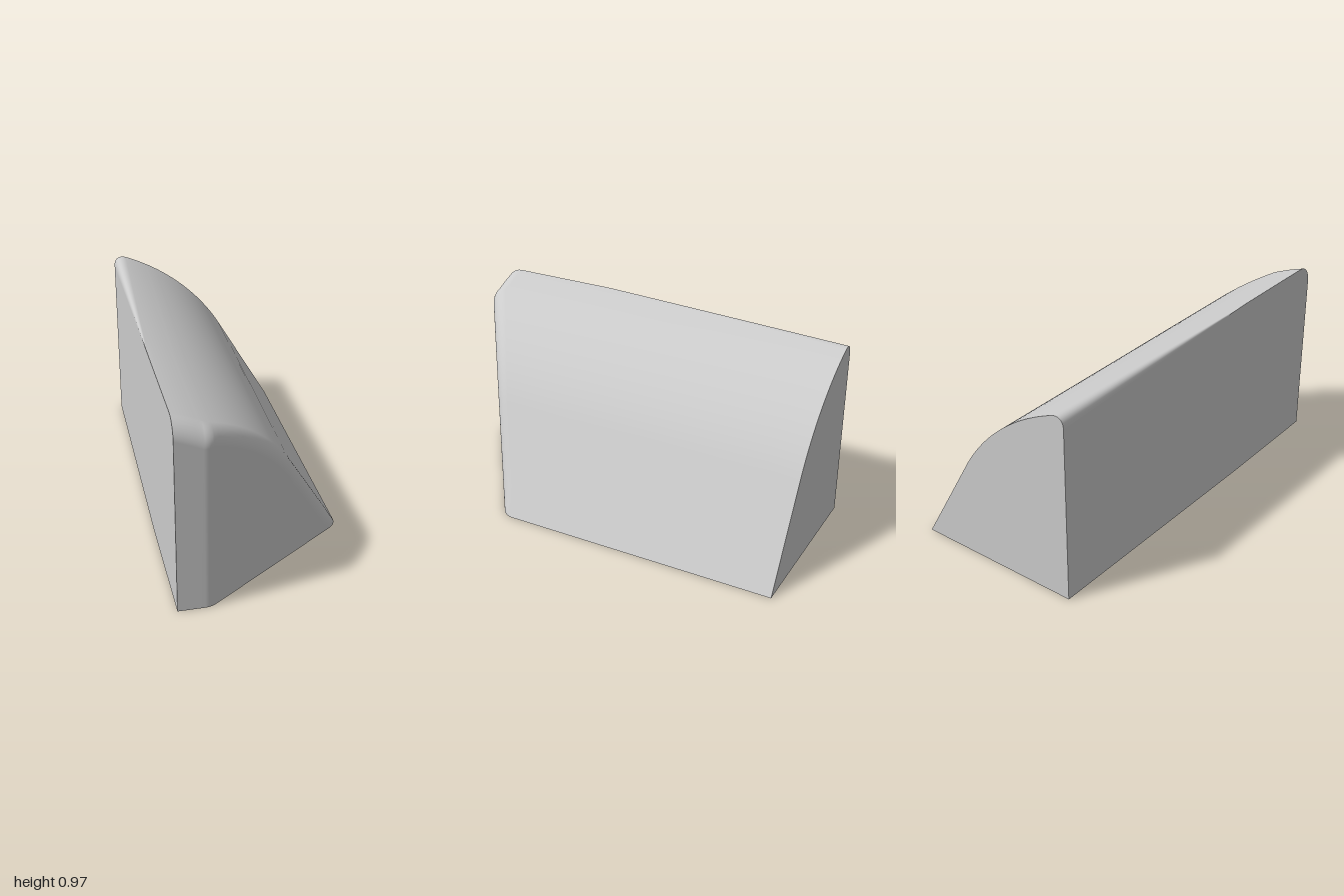
import * as THREE from 'three';
import { mergeVertices } from 'three/addons/utils/BufferGeometryUtils.js';

const R = 0.09;          // edge rounding radius
const BEND = 0.35;       // z where the left wall starts to taper
const ARC_STEPS = 8;
const BACK_ROWS = 8;

// Height of the roof: a circular arc running into a straight slope
const height = x => x < 0.17
  ? Math.sqrt(1.132 - (x + 0.751) ** 2) - 0.05
  : Math.max(0, 0.482 * (0.45 - x) / 0.28);

// Front outline in plan: straight, rounded corner, diagonal, rounded corner
function frontZ(x) {
  if (x < -0.321) return 1;
  if (x < -0.27) return 0.91 + Math.sqrt(R * R - (x + 0.321) ** 2);
  if (x < 0.4116) return 0.795 - 0.7 * x;
  return 0.433 + Math.sqrt(Math.max(0, R * R - (x - 0.36) ** 2));
}

const slope = (f, x) => {
  const c = THREE.MathUtils.clamp(x, -0.449, 0.449);
  return (f(c + 0.001) - f(c - 0.001)) / 0.002;
};

// Point on a circular-type conic with corner b, turning through the given angle
function conic(a, b, c, turn, t) {
  const wa = (1 - t) ** 2, wb = 2 * t * (1 - t) * Math.cos(turn / 2), wc = t * t;
  return new THREE.Vector3().addScaledVector(a, wa).addScaledVector(b, wb)
    .addScaledVector(c, wc).divideScalar(wa + wb + wc);
}

// Surface through a list of equally long columns of points
function grid(columns) {
  const rows = columns[0].length, index = [];
  for (let i = 0; i < columns.length - 1; i++) {
    for (let j = 0; j < rows - 1; j++) {
      const a = i * rows + j, b = a + rows;
      index.push(a, b, b + 1, a, b + 1, a + 1);
    }
  }
  let g = new THREE.BufferGeometry().setFromPoints(columns.flat());
  g.setIndex(index);
  g = mergeVertices(g, 1e-5);
  g.computeVertexNormals();
  return g;
}

// Rounded wall-to-roof edge for one x, from the ground up and back
function frontPath(x) {
  const h = height(x), z = frontZ(x), dh = slope(height, x), dz = slope(frontZ, x);
  const wall = new THREE.Vector3(-dz, 0, 1).normalize();
  const roof = new THREE.Vector3(-dh, 1, 0).normalize();
  const turn = wall.angleTo(roof), t = R * Math.tan(turn / 2);
  let drop = t * Math.sqrt(1 + dh * dh / (1 + dz * dz));
  let back = t * Math.sqrt((1 + dh * dh + dz * dz) / (1 + dh * dh));
  const fit = Math.min(1, h / drop);
  drop *= fit;
  back *= fit;
  const a = new THREE.Vector3(x, h - drop, z), b = new THREE.Vector3(x, h, z);
  const c = new THREE.Vector3(x, h, z - back);
  const path = [new THREE.Vector3(x, 0, z)];
  for (let i = 0; i <= ARC_STEPS; i++) path.push(conic(a, b, c, turn, i / ARC_STEPS));
  return path;
}

// Left edge behind the bend: wall leans in and its rounding grows
function leftEdge(k) {
  const x = -0.45 + 0.02 * k, r = 0.068 * k, end = x + r * 0.94;
  return {
    a: new THREE.Vector3(x, height(x) - r, 0), b: new THREE.Vector3(x, height(x), 0),
    c: new THREE.Vector3(end, height(end), 0), turn: 1.26,
  };
}

export function createModel() {
  const group = new THREE.Group();
  const material = new THREE.MeshStandardMaterial({ color: 0xcccccc });
  const add = (name, columns) => {
    const mesh = new THREE.Mesh(grid(columns), material);
    mesh.name = name;
    group.add(mesh);
  };

  // Column positions, denser around the two rounded corners
  const xs = [];
  const span = (from, to, n) => {
    for (let i = 0; i < n; i++) xs.push(from + (to - from) * i / n);
  };
  span(-0.45, -0.321, 5);
  span(-0.321, -0.27, 6);
  span(-0.27, 0.17, 20);
  span(0.17, 0.4116, 6);
  for (let i = 0; i <= 8; i++) {
    xs.push(0.36 + R * Math.sin(THREE.MathUtils.degToRad(35 + 55 * i / 8)));
  }

  // Columns of the left rounding, then columns across the roof
  const columns = [];
  const addColumn = (x, pointAt) => {
    const path = frontPath(x);
    for (let j = 0; j <= BACK_ROWS; j++) {
      const k = j / BACK_ROWS, p = pointAt(leftEdge(k));
      p.z = BEND - (BEND + 1) * k;
      path.push(p);
    }
    columns.push(path);
  };
  for (let i = 0; i < ARC_STEPS; i++) {
    addColumn(-0.45, e => conic(e.a, e.b, e.c, e.turn, i / ARC_STEPS));
  }
  for (const x of xs) {
    addColumn(x, e => {
      const px = THREE.MathUtils.lerp(e.c.x, 0.45, (x + 0.45) / 0.9);
      return new THREE.Vector3(px, height(px), 0);
    });
  }

  const ground = columns.map(col => col.map(p => new THREE.Vector3(p.x, 0, p.z)));
  const last = columns[0].length - 1;

  add('curvedShell', columns);
  add('sideWall', [ground[0], columns[0]]);
  add('backWall', columns.map((col, i) => [col[last], ground[i][last]]));
  add('base', [...ground].reverse());
  return group;
}
